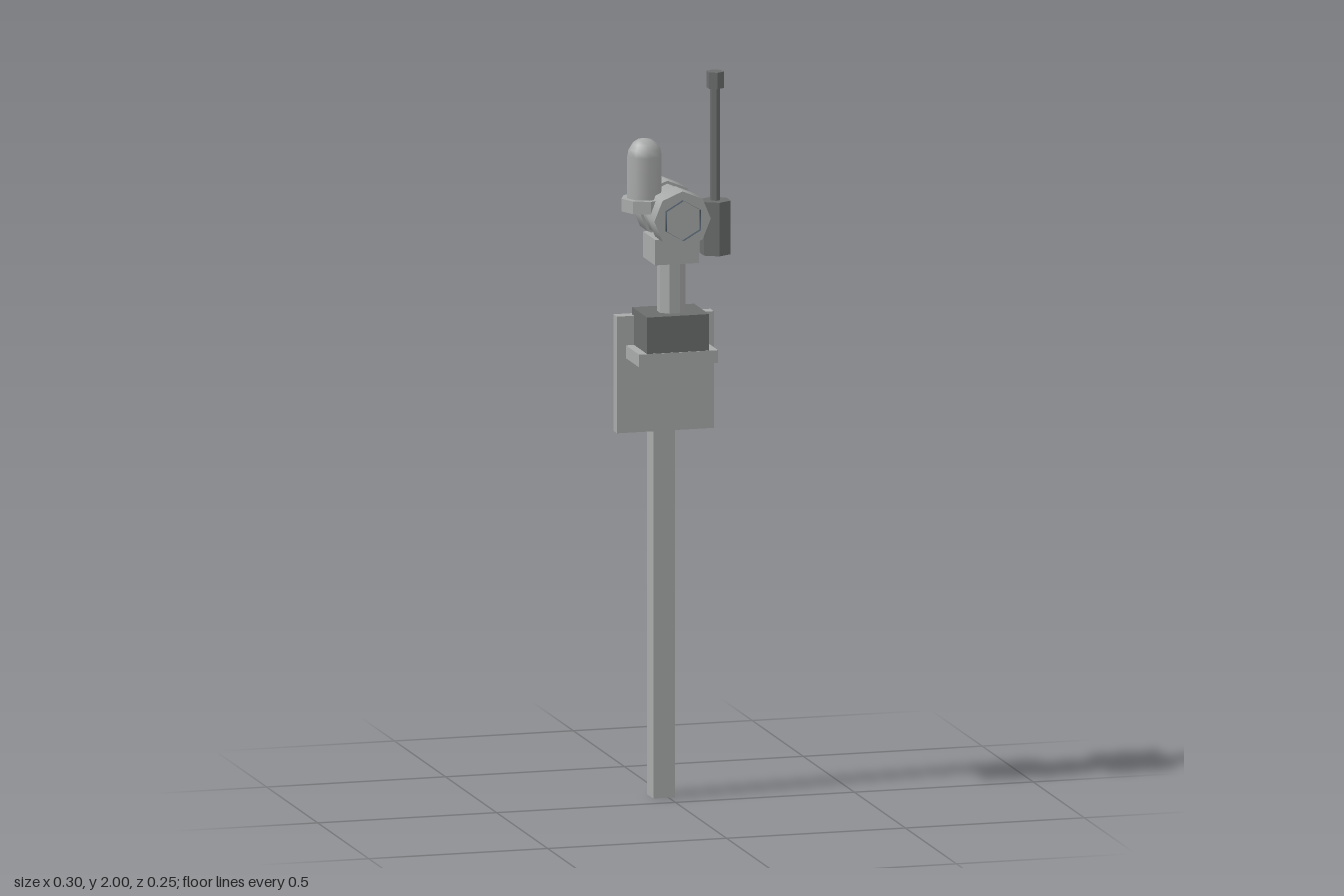
import * as THREE from 'three';

export function createModel() {
  const model = new THREE.Group();
  const mat = (name, color, opts = {}) => {
    const m = new THREE.MeshStandardMaterial({ color, ...opts });
    m.name = name;
    return m;
  };
  const lightGrey = mat('lightGrey', 0xa9abaa);
  const darkGrey = mat('darkGrey', 0x6c6e6e);
  const slate = mat('slate', 0x4a5660, { side: THREE.DoubleSide });

  const add = (name, geometry, material, x = 0, y = 0, z = 0) => {
    const mesh = new THREE.Mesh(geometry, material);
    mesh.name = name;
    mesh.position.set(x, y, z);
    model.add(mesh);
    return mesh;
  };
  // Box given by its limits on each axis
  const box = (name, material, [x0, x1], [y0, y1], [z0, z1]) =>
    add(name, new THREE.BoxGeometry(x1 - x0, y1 - y0, z1 - z0), material,
      (x0 + x1) / 2, (y0 + y1) / 2, (z0 + z1) / 2);
  // Upright prism with flat facets
  const prism = (name, material, r, sides, x, y0, y1, z = 0, turn = 0) => {
    const g = new THREE.CylinderGeometry(r, r, y1 - y0, sides).rotateY(turn).toNonIndexed();
    g.computeVertexNormals();
    return add(name, g, material, x, (y0 + y1) / 2, z);
  };
  // Cylinder lying along z
  const drum = (name, material, r, sides, z0, z1, open = false) =>
    add(name, new THREE.CylinderGeometry(r, r, z1 - z0, sides, 1, open).rotateX(Math.PI / 2),
      material, -0.012, 1.62, (z0 + z1) / 2);

  // Post, backing plate and shelf
  box('post', lightGrey, [-0.043, 0.018], [0, 1.295], [-0.128, -0.066]);
  box('backPlate', lightGrey, [-0.148, 0.123], [1.01, 1.33], [-0.09, -0.055]);
  box('shelf', lightGrey, [-0.123, 0.098], [1.215, 1.25], [-0.056, 0.075]);

  // Dark base, neck and saddle
  box('base', darkGrey, [-0.1, 0.073], [1.25, 1.35], [-0.073, 0.073]);
  prism('neck', lightGrey, 0.039, 8, -0.013, 1.35, 1.49, 0.004, Math.PI / 8);
  box('saddle', lightGrey, [-0.075, 0.048], [1.49, 1.56], [-0.056, 0.064]);

  // Horizontal body: two end drums, slimmer middle, open collar in front
  drum('rearDrum', lightGrey, 0.079, 8, -0.11, -0.037);
  drum('middleDrum', lightGrey, 0.071, 8, -0.037, 0.038);
  drum('frontDrum', lightGrey, 0.079, 8, 0.038, 0.112);
  drum('frontCollar', slate, 0.055, 6, 0.112, 0.125, true);

  // Side lamp: octagonal flange and round-topped housing
  prism('lampFlange', lightGrey, 0.064, 8, -0.087, 1.63, 1.665);
  const profile = [new THREE.Vector2(0.048, 0)];
  for (let i = 0; i <= 4; i++) {
    const a = (i / 4) * Math.PI / 2;
    profile.push(new THREE.Vector2(i === 4 ? 0 : 0.048 * Math.cos(a), 0.117 + 0.048 * Math.sin(a)));
  }
  add('lampHousing', new THREE.LatheGeometry(profile, 8), lightGrey, -0.087, 1.663, 0);

  // Aerial: hexagonal base, rod and tip
  prism('aerialBase', darkGrey, 0.043, 6, 0.111, 1.5, 1.647);
  prism('aerialRod', darkGrey, 0.014, 6, 0.111, 1.647, 1.955);
  prism('aerialTip', darkGrey, 0.024, 6, 0.111, 1.955, 2);

  return model;
}
